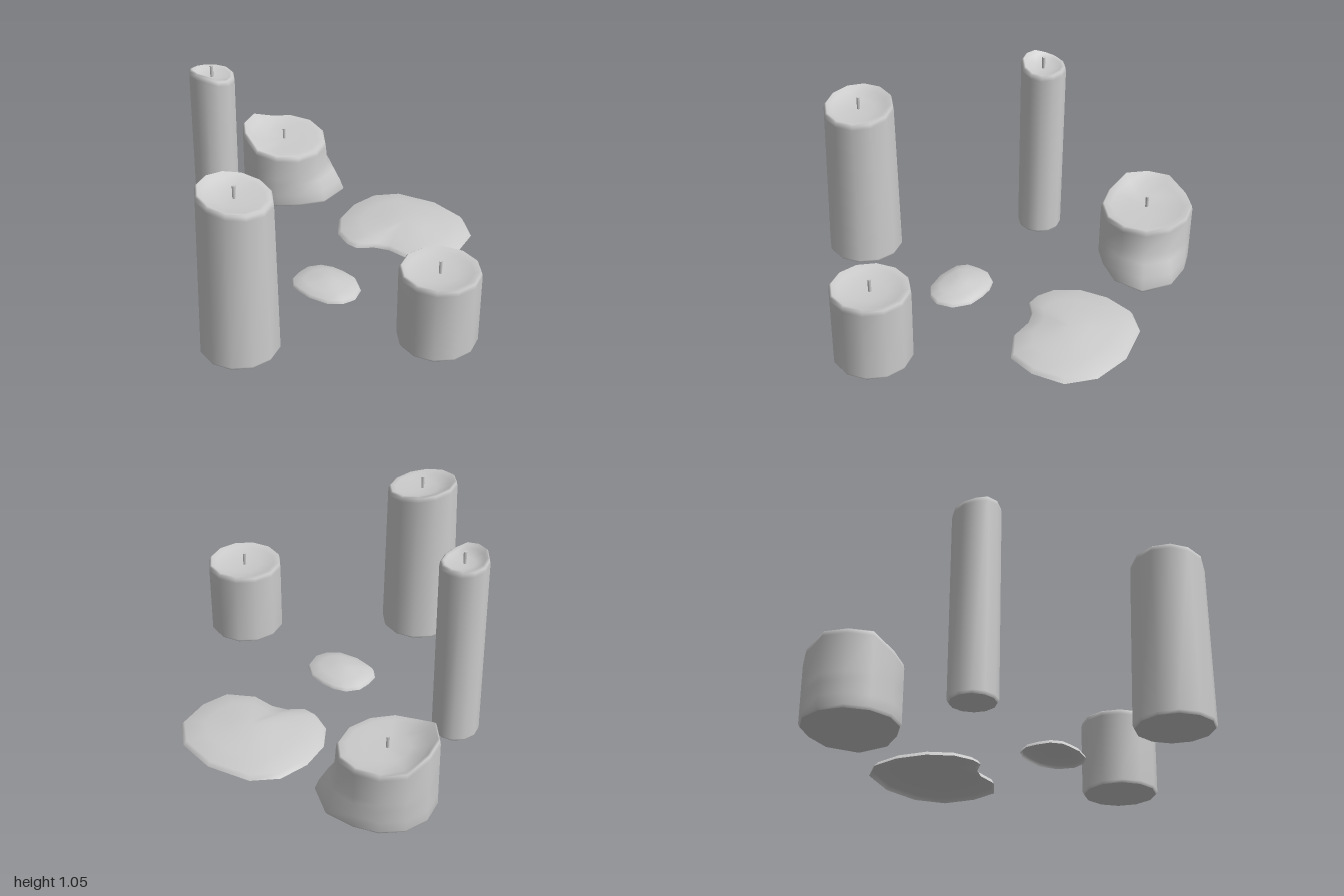
import * as THREE from 'three';
import { mergeVertices, mergeGeometries } from 'three/addons/utils/BufferGeometryUtils.js';

const SIDES = 12;
const wax = new THREE.MeshStandardMaterial({ color: 0xcccccc });
const shellWax = new THREE.MeshStandardMaterial({ color: 0xcccccc, side: THREE.DoubleSide });

// Smooth surface through closed rings of [x, y, z], listed from the bottom up
function loft(rings) {
  const n = rings[0].length;
  const index = [];
  for (let i = 0; i < rings.length - 1; i++) {
    for (let j = 0; j < n; j++) {
      const k = (j + 1) % n;
      const a = i * n + j, b = i * n + k, c = b + n, d = a + n;
      index.push(a, b, c, a, c, d);
    }
  }
  const geometry = new THREE.BufferGeometry();
  geometry.setAttribute('position', new THREE.Float32BufferAttribute(rings.flat(2), 3));
  geometry.setIndex(index);
  const merged = mergeVertices(geometry, 1e-5);
  merged.computeVertexNormals();
  return merged;
}

// Ring whose radius and height may vary from side to side
function ring(radius, height) {
  return Array.from({ length: SIDES }, (_, j) => {
    const a = (j / SIDES) * Math.PI * 2;
    const r = radius(j);
    return [Math.sin(a) * r, height(j), Math.cos(a) * r];
  });
}

// rim: height per side from the front round to +x; melt: extra base radius per side
function candle({ name, x, z, base, bottom, top, rim, wickTop, melt }) {
  const group = new THREE.Group();
  group.name = name;
  group.position.set(x, 0, z);

  const mean = rim.reduce((s, h) => s + h, 0) / SIDES;
  const dish = mean - 0.03;
  const spread = (j) => (melt ? melt[j] : 0);
  const flat = (y) => () => y;
  const foot = ring((j) => bottom - 0.008 + spread(j), flat(base));

  const body = loft([
    foot,
    ring((j) => bottom + spread(j), flat(base + 0.015)),
    ...(melt ? [
      ring((j) => bottom + spread(j) * 0.8, flat(0.07)),
      ring((j) => bottom + spread(j) * 0.42, flat(0.14)),
      ring((j) => bottom + spread(j) * 0.08, flat(0.18)),
    ] : []),
    ring(() => top, (j) => rim[j] - 0.03),
    ring(() => top - 0.004, (j) => rim[j] - 0.008),
    ring(() => top - 0.014, (j) => rim[j]),
    ring(() => top * 0.8, (j) => dish + (rim[j] - dish) * 0.5),
    ring(() => top * 0.45, (j) => dish + (rim[j] - dish) * 0.12),
    ring(() => 0, flat(dish)),
  ]);
  const underside = loft([ring(() => 0, flat(base)), foot]);
  const waxMesh = new THREE.Mesh(mergeGeometries([body, underside]), wax);
  waxMesh.name = 'waxBody';

  // Wick rising from the melted hollow
  const length = wickTop - dish + 0.01;
  const wick = new THREE.Mesh(new THREE.CylinderGeometry(0.009, 0.008, length, 6), wax);
  wick.name = 'wick';
  wick.position.y = wickTop - length / 2;

  group.add(waxMesh, wick);
  return group;
}

// Thin open dome of spilled wax over an outline of [x, z] points
function puddle(name, cx, cz, height, outline) {
  const levels = [[1, 0], [0.95, 0.38], [0.65, 0.66], [0.3, 0.92], [0, 1]];
  const points = outline.slice().reverse();
  const rings = levels.map(([s, h]) =>
    points.map(([x, z]) => [(x - cx) * s, h * height, (z - cz) * s]));
  const mesh = new THREE.Mesh(loft(rings), shellWax);
  mesh.name = name;
  mesh.position.set(cx, 0, cz);
  return mesh;
}

export function createModel() {
  const model = new THREE.Group();
  model.name = 'candleSet';

  const slanted = Array.from({ length: SIDES }, (_, j) => {
    const a = (j / SIDES) * Math.PI * 2;
    return 0.893 - 0.027 * Math.cos(a) - 0.01 * Math.sin(a);
  });

  model.add(
    candle({
      name: 'largeCandle', x: -0.745, z: 0.07, base: 0.01,
      bottom: 0.203, top: 0.187, rim: slanted, wickTop: 0.93,
    }),
    candle({
      name: 'tallThinCandle', x: -0.085, z: -0.68, base: 0.01,
      bottom: 0.12, top: 0.12, wickTop: 1.055,
      rim: [1.005, 1.0, 1.005, 1.01, 1.01, 1.015, 1.022, 1.033, 1.05, 1.05, 1.045, 1.02],
    }),
    candle({
      name: 'shortCandle', x: -0.085, z: 0.79, base: 0.01,
      bottom: 0.203, top: 0.203, rim: Array(SIDES).fill(0.43), wickTop: 0.47,
    }),
    candle({
      name: 'meltedCandle', x: 0.56, z: -0.75, base: 0,
      bottom: 0.245, top: 0.245, wickTop: 0.385,
      rim: [0.318, 0.318, 0.33, 0.345, 0.35, 0.355, 0.405, 0.405, 0.405, 0.345, 0.33, 0.32],
      melt: [0.06, 0.105, 0.065, 0.012, 0, 0, 0, 0, 0, 0, 0, 0.005],
    }),
    puddle('largeWaxPuddle', 0.62, 0.08, 0.06, [
      [0.46, -0.265], [0.62, -0.295], [0.78, -0.265], [0.89, -0.16], [0.945, 0.07],
      [0.91, 0.28], [0.8, 0.41], [0.63, 0.44], [0.48, 0.405], [0.395, 0.27],
      [0.395, 0.14], [0.365, 0.06], [0.3, -0.01], [0.3, -0.08], [0.345, -0.18],
    ]),
    puddle('smallWaxPuddle', -0.08, 0.08, 0.045, [
      [-0.085, -0.105], [-0.02, -0.1], [0.04, -0.055], [0.065, 0.01], [0.07, 0.08],
      [0.06, 0.17], [0, 0.25], [-0.085, 0.275], [-0.15, 0.25], [-0.2, 0.19],
      [-0.22, 0.08], [-0.21, 0], [-0.2, -0.05], [-0.155, -0.095],
    ]),
  );
  return model;
}
